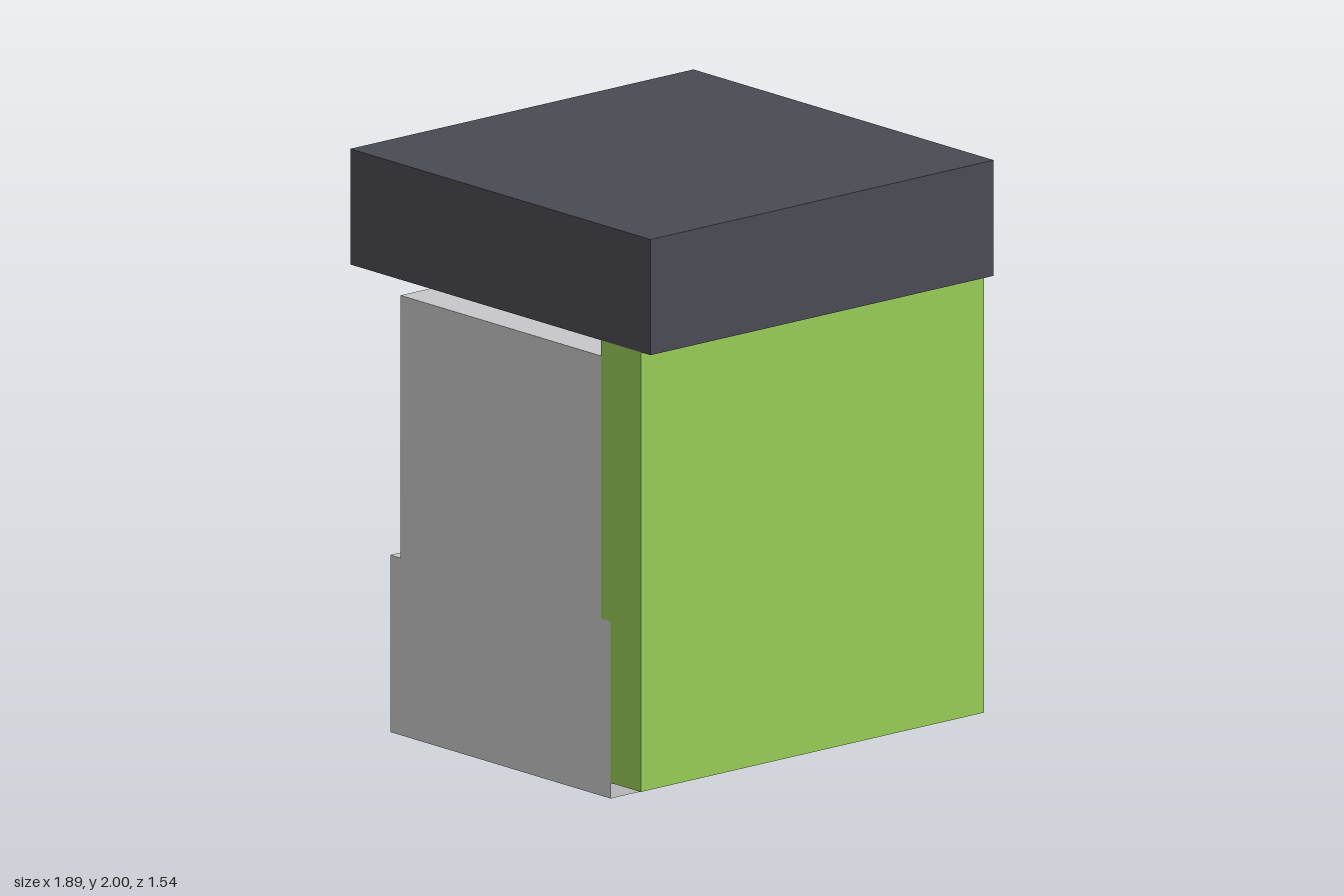
import * as THREE from 'three';

const mat = (name, color) => {
  const m = new THREE.MeshStandardMaterial({ color });
  m.name = name;
  return m;
};

export function createModel() {
  const group = new THREE.Group();
  const grey = mat('light grey', 0xc7c7c9);
  const green = mat('leaf green', 0x97cb57);
  const slate = mat('dark slate', 0x4a4a53);
  const left = 0.59, right = -0.95;

  // Box given by its extents on each axis
  const box = (name, material, [x0, x1], [y0, y1], [z0, z1]) => {
    const mesh = new THREE.Mesh(new THREE.BoxGeometry(x1 - x0, y1 - y0, z1 - z0), material);
    mesh.position.set((x0 + x1) / 2, (y0 + y1) / 2, (z0 + z1) / 2);
    mesh.name = name;
    group.add(mesh);
  };

  // Stepped body, overhanging lid and side box
  box('base', grey, [right, left], [0, 0.62], [-0.565, 0.565]);
  box('upperBody', grey, [right, left], [0.62, 1.54], [-0.512, 0.515]);
  box('lid', slate, [right, left], [1.595, 2], [-0.77, 0.77]);
  box('sideBox', grey, [left, 0.945], [0.67, 1.385], [-0.565, 0.153]);

  // Front panel, its (z, y) profile notched around the wider base
  const profile = new THREE.Shape([
    [0.565, 0.055], [0.72, 0.055], [0.72, 1.595],
    [0.515, 1.595], [0.515, 0.62], [0.565, 0.62],
  ].map(([z, y]) => new THREE.Vector2(z, y)));
  const panelGeometry = new THREE.ExtrudeGeometry(profile, { depth: left - right, bevelEnabled: false });
  panelGeometry.rotateY(-Math.PI / 2).translate(left, 0, 0);
  const panel = new THREE.Mesh(panelGeometry, green);
  panel.name = 'frontPanel';
  group.add(panel);

  return group;
}
